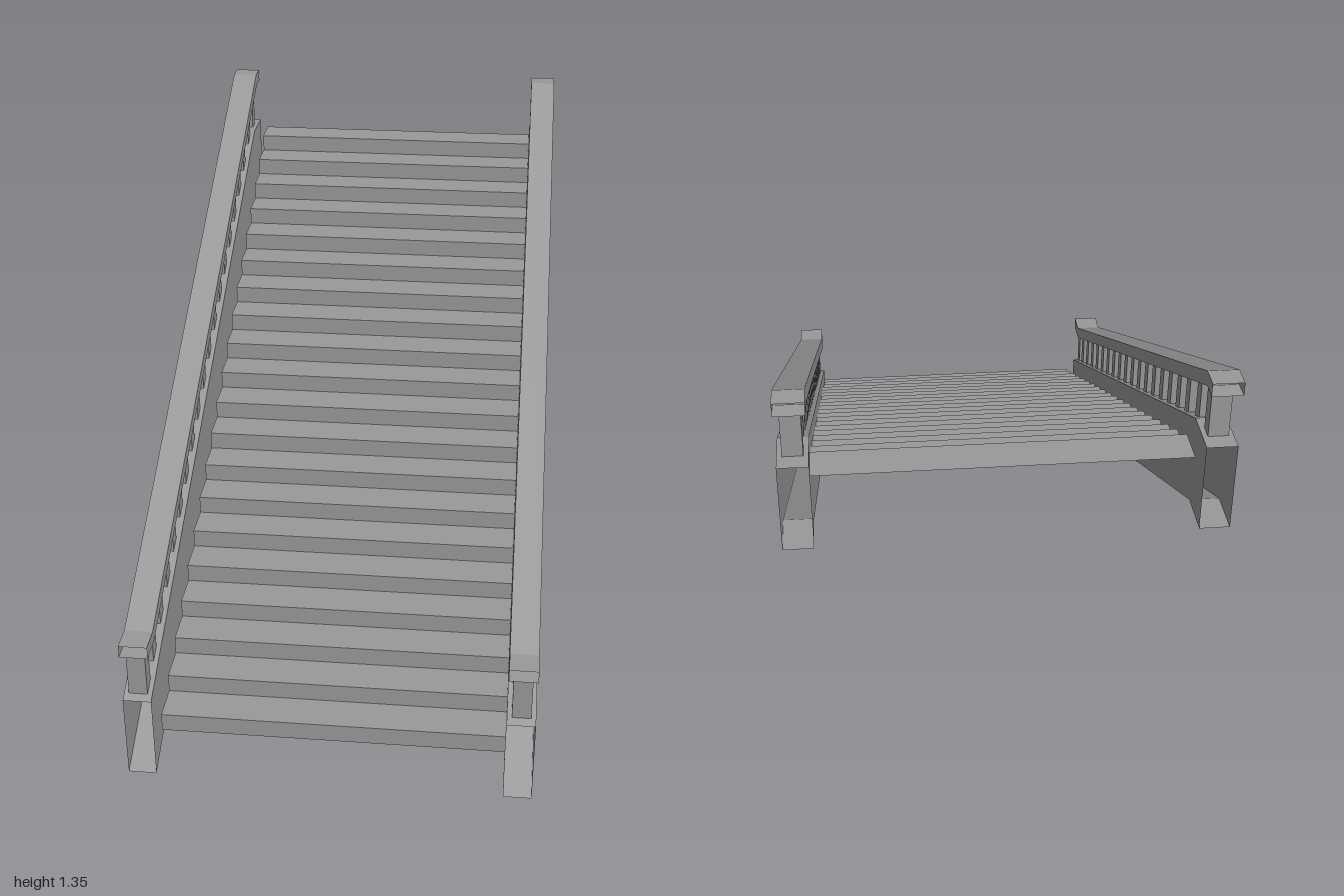
import * as THREE from 'three';

const material = new THREE.MeshStandardMaterial({ color: 0x999999, flatShading: true, side: THREE.DoubleSide });

// Side profiles as [z, y], running from the foot to the head of the stairs
const stringerTop = [[1, 0.238], [-0.87, 1.173], [-1, 1.173]];
const stringerBottom = [[1, 0], [-0.88, 0.94], [-1, 0.94]];
const railTop = [[1, 0.412], [0.93, 0.412], [-0.94, 1.347], [-1, 1.347]];
const railBottom = [[1, 0.378], [0.92, 0.378], [-0.95, 1.313], [-1, 1.313]];

// Skins consecutive cross-sections (arrays of [x, y, z]) with flat quads
function loft(sections, closed) {
  const positions = [];
  for (let i = 0; i < sections.length - 1; i++) {
    const a = sections[i], b = sections[i + 1];
    const count = closed ? a.length : a.length - 1;
    for (let j = 0; j < count; j++) {
      const k = (j + 1) % a.length;
      positions.push(...a[j], ...a[k], ...b[k], ...a[j], ...b[k], ...b[j]);
    }
  }
  const geometry = new THREE.BufferGeometry();
  geometry.setAttribute('position', new THREE.Float32BufferAttribute(positions, 3));
  geometry.computeVertexNormals();
  return geometry;
}

// Hollow box section with open ends, between an upper and a lower profile
function hollowBeam(top, bottom, width) {
  const w = width / 2;
  return loft(top.map(([zt, yt], i) => {
    const [zb, yb] = bottom[i];
    return [[-w, yb, zb], [w, yb, zb], [w, yt, zt], [-w, yt, zt]];
  }), true);
}

// Height of a profile at a given z
function heightAt(profile, z) {
  for (let i = 0; i < profile.length - 1; i++) {
    const [z0, y0] = profile[i], [z1, y1] = profile[i + 1];
    if (z <= z0 && z >= z1) return y0 + (y1 - y0) * (z0 - z) / (z0 - z1);
  }
  return profile[0][1];
}

// Upright post whose ends follow the slopes of stringer and handrail
function balusterGeometry(z) {
  const geometry = new THREE.BoxGeometry(0.05, 1, 0.04);
  geometry.translate(0, 0, z);
  const p = geometry.attributes.position;
  for (let i = 0; i < p.count; i++) {
    p.setY(i, heightAt(p.getY(i) < 0 ? stringerTop : railBottom, p.getZ(i)));
  }
  geometry.computeVertexNormals();
  return geometry;
}

function addMesh(parent, name, geometry) {
  const mesh = new THREE.Mesh(geometry, material);
  mesh.name = name;
  parent.add(mesh);
}

export function createModel() {
  const model = new THREE.Group();
  model.name = 'staircase';

  // Folded sheet of 20 risers and treads
  const steps = 20, rise = 0.0499;
  const fold = [];
  for (let i = 0; i < steps; i++) {
    const z = 1 - i * 0.1, y = 0.15 + i * rise;
    fold.push([z, y], [z, y + rise]);
  }
  fold.push([-1, 0.15 + steps * rise]);
  addMesh(model, 'steps', loft(fold.map(([z, y]) => [[-0.4375, y, z], [0.4625, y, z]]), false));

  // Evenly spaced balusters, with the end ones set in from the beam ends
  const balusterZ = [0.96];
  for (let i = 1; i < 18; i++) balusterZ.push(0.975 - i * 0.1);
  balusterZ.push(-0.835, -0.932);

  // Stringer, balusters and handrail on each side
  for (const side of [-1, 1]) {
    const balustrade = new THREE.Group();
    balustrade.name = side > 0 ? 'leftBalustrade' : 'rightBalustrade';
    balustrade.position.x = side * 0.5;
    addMesh(balustrade, 'stringer', hollowBeam(stringerTop, stringerBottom, 0.075));
    addMesh(balustrade, 'handrail', hollowBeam(railTop, railBottom, 0.075));
    for (const z of balusterZ) addMesh(balustrade, 'baluster', balusterGeometry(z));
    model.add(balustrade);
  }
  return model;
}
